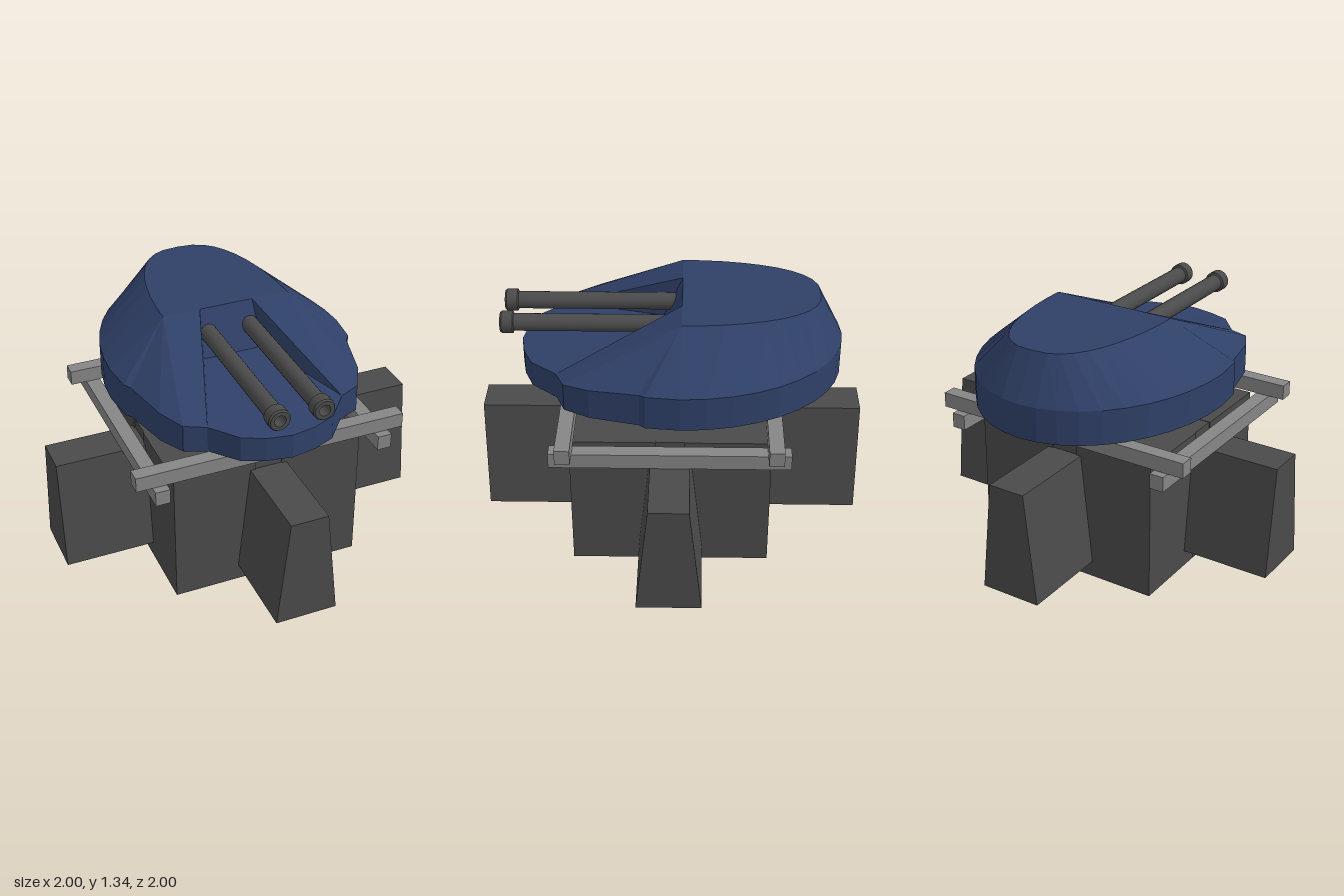
import * as THREE from 'three';
import { toCreasedNormals } from 'three/addons/utils/BufferGeometryUtils.js';

const material = (name, color, extra = {}) => {
  const m = new THREE.MeshStandardMaterial({ color, ...extra });
  m.name = name;
  return m;
};

export function createModel() {
  const model = new THREE.Group();
  model.name = 'gunTurret';
  const dark = material('dark grey', 0x4a4a4a);
  const steel = material('light grey', 0x858585);
  const blue = material('navy blue', 0x2f4068);

  const add = (name, geometry, mat, x = 0, y = 0, z = 0, parent = model) => {
    const mesh = new THREE.Mesh(geometry, mat);
    mesh.name = name;
    mesh.position.set(x, y, z);
    parent.add(mesh);
    return mesh;
  };
  // box given by its limits on each axis
  const box = (name, mat, [x0, x1], [y0, y1], [z0, z1], parent) =>
    add(name, new THREE.BoxGeometry(x1 - x0, y1 - y0, z1 - z0), mat,
      (x0 + x1) / 2, (y0 + y1) / 2, (z0 + z1) / 2, parent);

  // Foundation: four corner blocks with cross channels between them
  const base = new THREE.Group();
  base.name = 'foundation';
  base.position.x = -0.005;
  model.add(base);
  const span = (s) => (s > 0 ? [0.073, 0.514] : [-0.514, -0.073]);
  for (const sx of [-1, 1])
    for (const sz of [-1, 1]) box('cornerBlock', dark, span(sx), [0.004, 0.75], span(sz), base);
  box('basePlate', dark, [-0.514, 0.514], [0, 0.004], [-0.514, 0.514], base);
  box('roofPlate', dark, [-0.508, 0.508], [0.68, 0.748], [-0.508, 0.508], base);

  // Tapered arms crossing through the foundation
  const trapezoid = new THREE.Shape([[-0.165, 0.09], [0.165, 0.09], [0.1, 0.69], [-0.1, 0.69]]
    .map(([x, y]) => new THREE.Vector2(x, y)));
  const armGeometry = new THREE.ExtrudeGeometry(trapezoid, { depth: 2, bevelEnabled: false });
  armGeometry.translate(0, 0, -1);
  add('longArm', armGeometry, dark, -0.005);
  add('crossArm', armGeometry, dark).rotation.y = Math.PI / 2;

  // Beam frame
  for (const s of [-1, 1]) {
    const lx = s * 0.608, uz = s * 0.525, ix = s * 0.118;
    box('lowerBeam', steel, [lx - 0.038, lx + 0.038], [0.69, 0.77], [-0.605, 0.605]);
    box('upperBeam', steel, [-0.73, 0.73], [0.77, 0.85], [uz - 0.038, uz + 0.038]);
    box('innerBeam', steel, [ix - 0.038, ix + 0.038], [0.77, 0.85], [-0.49, 0.49]);
  }

  // Turning ring and neck
  add('turningRing', new THREE.CylinderGeometry(0.37, 0.37, 0.095, 32), steel, 0, 0.8425, 0);
  add('neck', new THREE.CylinderGeometry(0.25, 0.25, 0.07, 32), dark, 0, 0.89, 0);

  add('turretShell', shellGeometry(), blue);

  // Twin barrels with hollow muzzles
  const profile = [[0, 0], [0.045, 0], [0.045, 0.82], [0.057, 0.825], [0.057, 0.88],
    [0.05, 0.89], [0.03, 0.89], [0.03, 0.8], [0, 0.8]].map(([r, y]) => new THREE.Vector2(r, y));
  const barrel = toCreasedNormals(new THREE.LatheGeometry(profile, 20), 0.6);
  barrel.rotateX(Math.PI / 2);
  for (const x of [-0.115, 0.115]) add('barrel', barrel, dark, x, 1.215, -0.02);

  return model;
}

// Armoured shell: one half is described from the rear to the nose and mirrored
function shellGeometry() {
  const positions = [];
  const tri = (a, b, c) => {
    positions.push(...a, ...b, ...c);
    for (const p of [a, c, b]) positions.push(-p[0], p[1], p[2]);
  };
  const quad = (a, b, c, d) => { tri(a, b, c); tri(a, c, d); };

  const floorY = 0.92, rimY = 1.1, topY = 1.335, frontZ = -0.055;
  const roofCorner = [0.345, topY, frontZ];
  const recessTop = [0.145, topY, frontZ];
  const recessFoot = [0.165, 1.1, 0.045];
  const roofMid = [0, topY, frontZ];
  const footMid = [0, 1.1, 0.045];

  // rounded rear: rim and roof edge
  const rim = [], roof = [];
  const steps = 10;
  for (let i = 0; i <= steps; i++) {
    const t = (i / steps) * Math.PI / 2;
    const s = Math.sin(t), c = i === steps ? 0 : Math.cos(t);
    rim.push([0.643 * s, rimY, -0.05 - 0.83 * c]);
    roof.push([0.345 * Math.pow(s, 0.75), topY, frontZ - 0.705 * c]);
  }
  // side notch and cheek, ending at the recess corner
  for (const p of [[0.625, 1.1, 0.12], [0.6, 1.095, 0.15], [0.54, 1.08, 0.4],
    [0.47, 1.067, 0.53], [0.36, 1.06, 0.575]]) {
    rim.push(p);
    roof.push(roofCorner);
  }
  const cheek = rim.length - 1;
  // nose
  rim.push([0.245, 1.055, 0.71], [0.13, 1.05, 0.757], [0, 1.05, 0.78]);

  for (let i = 0; i < rim.length - 1; i++) {
    const a = rim[i], b = rim[i + 1];
    const a0 = [a[0], floorY, a[2]], b0 = [b[0], floorY, b[2]];
    quad(b0, a0, a, b); // wall
    tri([0, floorY, 0], a0, b0); // underside
    if (i < steps) {
      quad(b, a, roof[i], roof[i + 1]); // sloping skirt
      tri(roofMid, roof[i + 1], roof[i]); // roof
    } else if (i < cheek) tri(b, a, roofCorner); // cheek facets
    else tri(footMid, b, a); // nose deck
  }
  // gun recess
  const corner = rim[cheek];
  tri(roofCorner, recessTop, corner);
  tri(recessTop, recessFoot, corner);
  tri(footMid, corner, recessFoot);
  quad(roofMid, footMid, recessFoot, recessTop);

  const geometry = new THREE.BufferGeometry();
  geometry.setAttribute('position', new THREE.Float32BufferAttribute(positions, 3));
  geometry.computeVertexNormals();
  return geometry;
}
